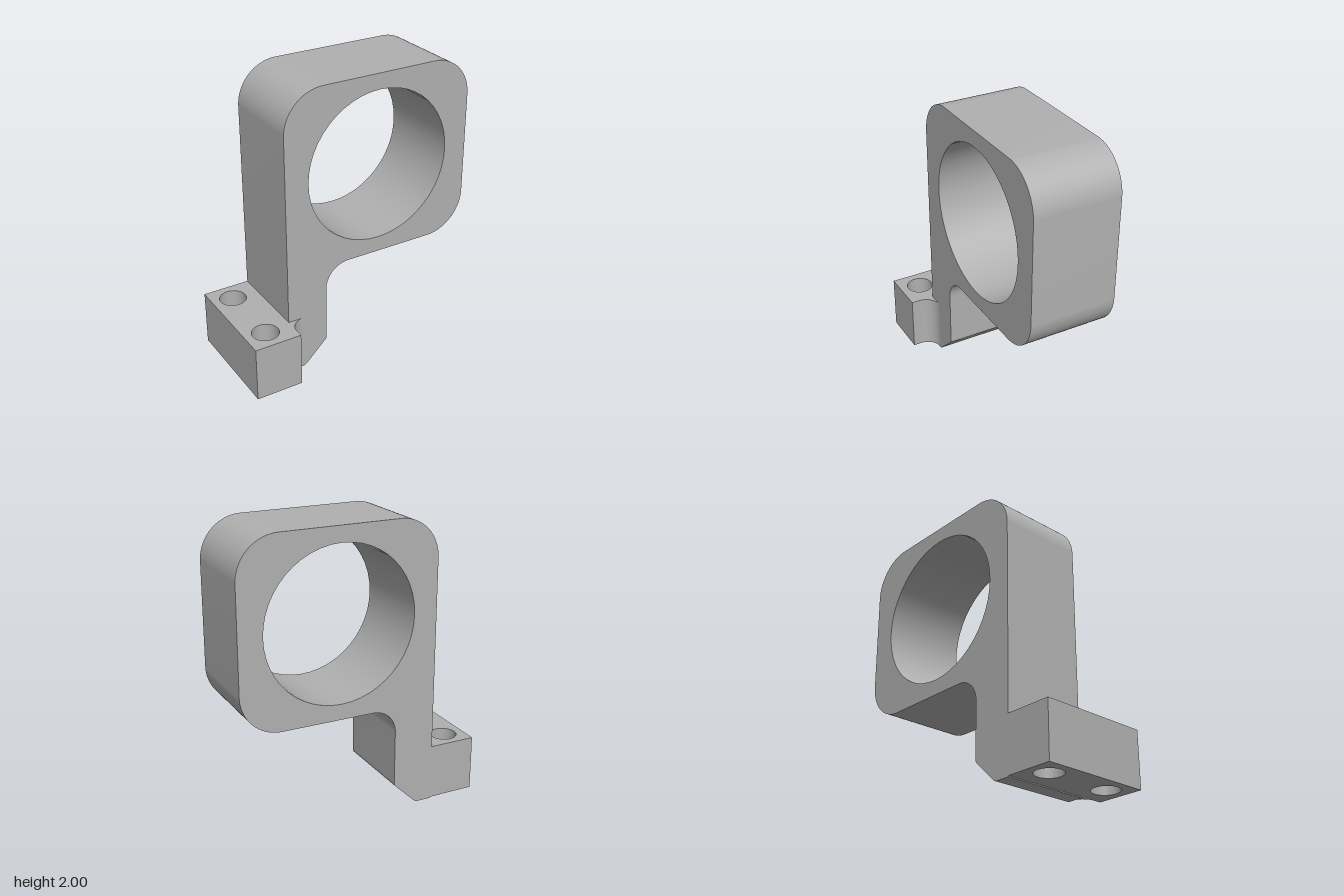
import * as THREE from 'three';
import { toCreasedNormals } from 'three/addons/utils/BufferGeometryUtils.js';

const HALF_PI = Math.PI / 2;

function circleHole(x, y, r) {
  return new THREE.Path().absarc(x, y, r, 0, Math.PI * 2, true);
}

function extrude(shape, depth, curveSegments) {
  return new THREE.ExtrudeGeometry(shape, { depth, curveSegments, bevelEnabled: false });
}

export function createModel() {
  const group = new THREE.Group();
  group.name = 'ringBracket';
  const grey = new THREE.MeshStandardMaterial({ color: 0xb0b0b0 });
  grey.name = 'plain grey';

  const add = (name, geometry) => {
    const mesh = new THREE.Mesh(toCreasedNormals(geometry, 0.5), grey);
    mesh.name = name;
    group.add(mesh);
  };

  // Rounded square ring and its leg, one profile facing the front
  const left = -0.53, right = 0.855, top = 2, under = 0.73, r = 0.28;
  const legSide = -0.24, fillet = 0.17;
  const body = new THREE.Shape();
  body.moveTo(left, 0);
  body.lineTo(-0.42, 0);
  body.quadraticCurveTo(-0.405, 0.005, -0.39, 0.02);
  body.lineTo(-0.25, 0.155);
  body.quadraticCurveTo(legSide, 0.165, legSide, 0.18);
  body.lineTo(legSide, under - fillet);
  body.absarc(legSide + fillet, under - fillet, fillet, Math.PI, HALF_PI, true);
  body.lineTo(right - r, under);
  body.absarc(right - r, under + r, r, -HALF_PI, 0, false);
  body.lineTo(right, top - r);
  body.absarc(right - r, top - r, r, 0, HALF_PI, false);
  body.lineTo(left + r, top);
  body.absarc(left + r, top - r, r, HALF_PI, Math.PI, false);
  body.closePath();
  body.holes.push(circleHole(0.163, 1.365, 0.527));
  add('ringAndLeg', extrude(body, 0.605, 24).translate(0, 0, -0.385));

  // Foot block with two bolt holes and a fillet onto the leg, drawn from above
  const foot = new THREE.Shape();
  foot.moveTo(-0.86, 0.385);
  foot.lineTo(-0.86, -0.385);
  foot.lineTo(left, -0.385);
  foot.lineTo(left, -0.33);
  foot.absarc(left + 0.11, -0.33, 0.11, Math.PI, HALF_PI, true);
  foot.lineTo(left, -0.22);
  foot.lineTo(left, 0.385);
  foot.closePath();
  for (const y of [0.24, -0.237]) foot.holes.push(circleHole(-0.713, y, 0.092));
  add('footBlock', extrude(foot, 0.385, 16).rotateX(-HALF_PI).translate(0, 0.007, 0));

  return group;
}
